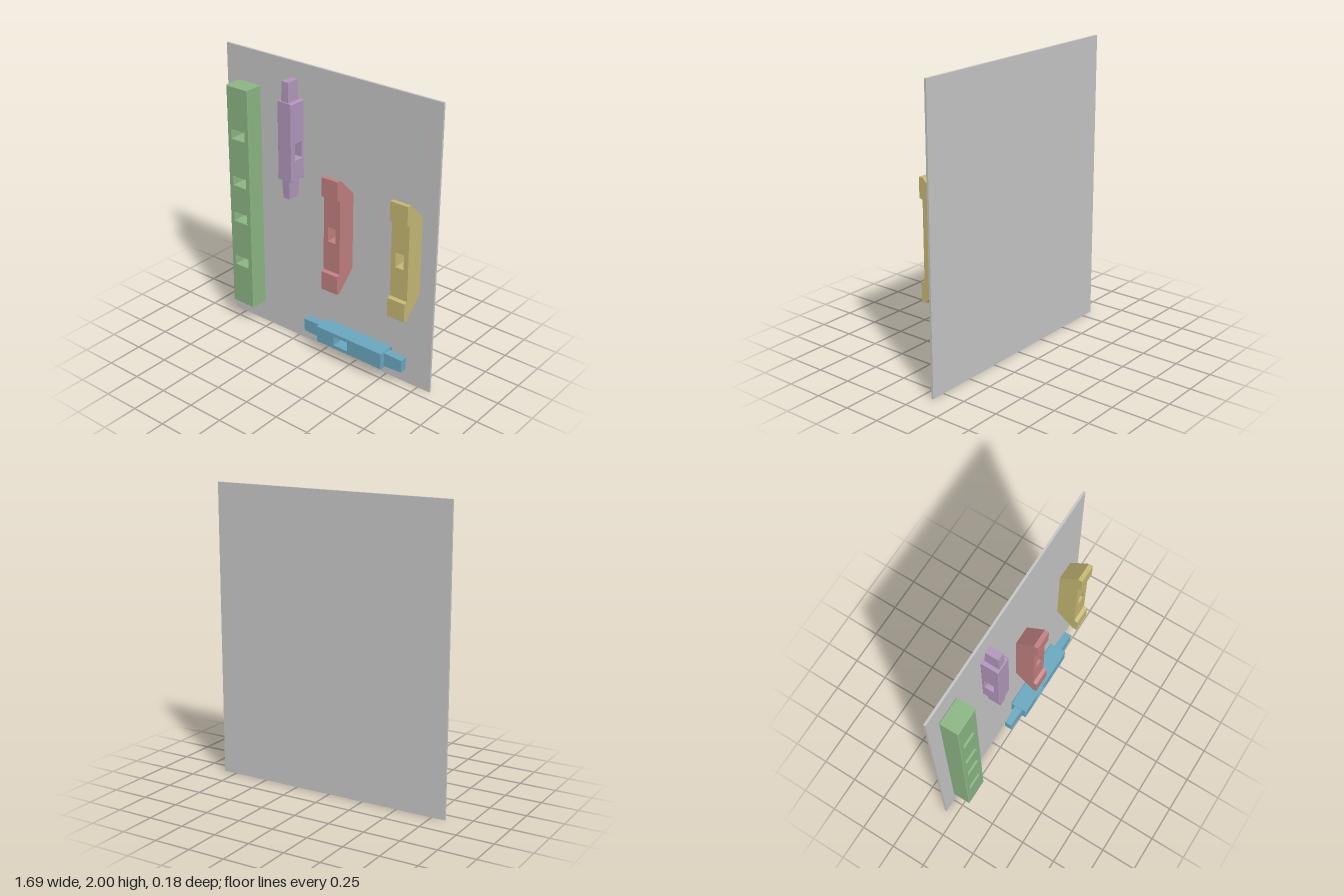
import * as THREE from 'three';

const mat = (name, color) => {
  const m = new THREE.MeshStandardMaterial({ color });
  m.name = name;
  return m;
};

// Closed rectangle given by its edges
const rect = (Type, x0, x1, y0, y1) => new Type([
  new THREE.Vector2(x0, y0), new THREE.Vector2(x1, y0),
  new THREE.Vector2(x1, y1), new THREE.Vector2(x0, y1),
]);

// Rectangular bar pierced front to back; b is the small edge bevel
function piercedBar(edges, holes, z0, z1, b) {
  const shape = rect(THREE.Shape, ...edges);
  for (const h of holes) shape.holes.push(rect(THREE.Path, ...h));
  const geo = new THREE.ExtrudeGeometry(shape, {
    depth: z1 - z0 - 2 * b, bevelEnabled: b > 0, bevelSize: b,
    bevelThickness: b, bevelOffset: -b, bevelSegments: 1,
  });
  return geo.translate(0, 0, z0 + b);
}

// Tapered peg standing on y = 0; its far end is narrowed by the given factor
function tenonGeometry(w, h, d, taper) {
  const geo = new THREE.BoxGeometry(w, h, d).translate(0, h / 2, 0);
  const p = geo.attributes.position;
  for (let i = 0; i < p.count; i++) {
    if (p.getY(i) > h / 2) p.setXYZ(i, p.getX(i) * taper, h, p.getZ(i) * taper);
  }
  geo.computeVertexNormals();
  return geo;
}

export function createModel() {
  const model = new THREE.Group();
  const grey = mat('panel grey', 0xc6c6c6);
  const green = mat('sage green', 0x8cb684);
  const purple = mat('dusty purple', 0xb197bc);
  const red = mat('dusty red', 0xc28080);
  const yellow = mat('straw yellow', 0xc6b874);
  const blue = mat('soft blue', 0x69a8c0);

  const add = (parent, name, geo, material) => {
    const mesh = new THREE.Mesh(geo, material);
    mesh.name = name;
    parent.add(mesh);
    return mesh;
  };
  const group = (name) => {
    const g = new THREE.Group();
    g.name = name;
    model.add(g);
    return g;
  };

  // Backing panel
  add(model, 'backPanel', new THREE.BoxGeometry(1.69, 2, 0.015).translate(0, 1, -0.0775), grey);

  // Tall post with four mortises
  const mortises = [0.495, 0.832, 1.1, 1.438].map((y) => [-0.705, -0.597, y - 0.033, y + 0.033]);
  add(model, 'mortisedPost', piercedBar([-0.742, -0.558, 0.16, 1.77], mortises, -0.07, 0.06, 0.004), green);

  // Upright rail, pierced sideways, with a tenon at each end
  const upright = group('uprightRail');
  const body = piercedBar([-0.055, 0.07, 1.228, 1.764], [[-0.034, 0.029, 1.375, 1.48]], -0.31, -0.197, 0.004);
  // Turn so that the piercing runs along x
  body.scale(-1, 1, 1).rotateY(-Math.PI / 2).scale(-1, 1, 1).scale(1, 1, -1);
  const bp = body.attributes.position;
  body.computeBoundingBox();
  const c = body.boundingBox.getCenter(new THREE.Vector3());
  for (let i = 0; i < bp.count; i++) bp.setXYZ(i, bp.getX(i) - c.x - 0.2535, bp.getY(i), bp.getZ(i) - c.z - 0.0075);
  // Restore outward winding after the mirrored axes
  for (let i = 0; i < bp.count && windingFlipped(body); i += 3) swapCorners(bp, i + 1, i + 2);
  body.computeVertexNormals();
  add(upright, 'railBody', body, purple);
  for (const s of [1, -1]) {
    const t = add(upright, s > 0 ? 'topTenon' : 'bottomTenon', tenonGeometry(0.058, 0.134, 0.1, 0.9), purple);
    t.position.set(-0.256, s > 0 ? 1.763 : 1.229, -0.005);
    if (s < 0) t.rotation.x = Math.PI;
  }

  // Lying rail, pierced front to back, with a tenon at each end
  const lying = group('lyingRail');
  add(lying, 'railBody', piercedBar([0.006, 0.542, 0.11, 0.231], [[0.153, 0.262, 0.14, 0.202]], -0.07, 0.052, 0.004), blue);
  for (const s of [1, -1]) {
    const t = add(lying, s > 0 ? 'leftTenon' : 'rightTenon', tenonGeometry(0.1, 0.136, 0.058, 0.88), blue);
    t.position.set(s > 0 ? 0.541 : 0.007, 0.172, -0.009);
    t.rotation.z = -s * Math.PI / 2;
  }

  // Two handles: pierced middle, raised feet with sloping backs
  const handle = (name, x, material) => {
    const g = group(name);
    const cy = 0.965;
    add(g, 'grip', piercedBar([x - 0.065, x + 0.065, cy - 0.27, cy + 0.27],
      [[x - 0.031, x + 0.031, 0.915, 1.018]], -0.07, 0.065, 0), material);
    const points = [[-0.07, 0.27], [0.064, 0.27], [0.065, 0.262], [0.09, 0.27], [0.09, 0.4], [0.06, 0.4]];
    for (const s of [1, -1]) {
      // Profile in (-z, y), extruded and turned to run along x
      const foot = new THREE.Shape(points.map(([z, y]) => new THREE.Vector2(-z, s * y)));
      const geo = new THREE.ExtrudeGeometry(foot, { depth: 0.13, bevelEnabled: false });
      geo.translate(0, 0, -0.065).rotateY(Math.PI / 2).translate(x, cy, 0);
      add(g, s > 0 ? 'topFoot' : 'bottomFoot', geo, material);
    }
  };
  handle('redHandle', 0.141, red);
  handle('yellowHandle', 0.67, yellow);

  return model;
}

// Signed volume tells whether the faces point inward
function windingFlipped(geo) {
  if (geo.userData.flipped === undefined) {
    const p = geo.attributes.position;
    const [a, b, c] = [0, 1, 2].map(() => new THREE.Vector3());
    let volume = 0;
    for (let i = 0; i < p.count; i += 3) {
      a.fromBufferAttribute(p, i);
      b.fromBufferAttribute(p, i + 1);
      c.fromBufferAttribute(p, i + 2);
      volume += a.dot(b.cross(c));
    }
    geo.userData.flipped = volume < 0;
  }
  return geo.userData.flipped;
}

function swapCorners(p, i, j) {
  const a = new THREE.Vector3().fromBufferAttribute(p, i);
  const b = new THREE.Vector3().fromBufferAttribute(p, j);
  p.setXYZ(i, b.x, b.y, b.z);
  p.setXYZ(j, a.x, a.y, a.z);
}
